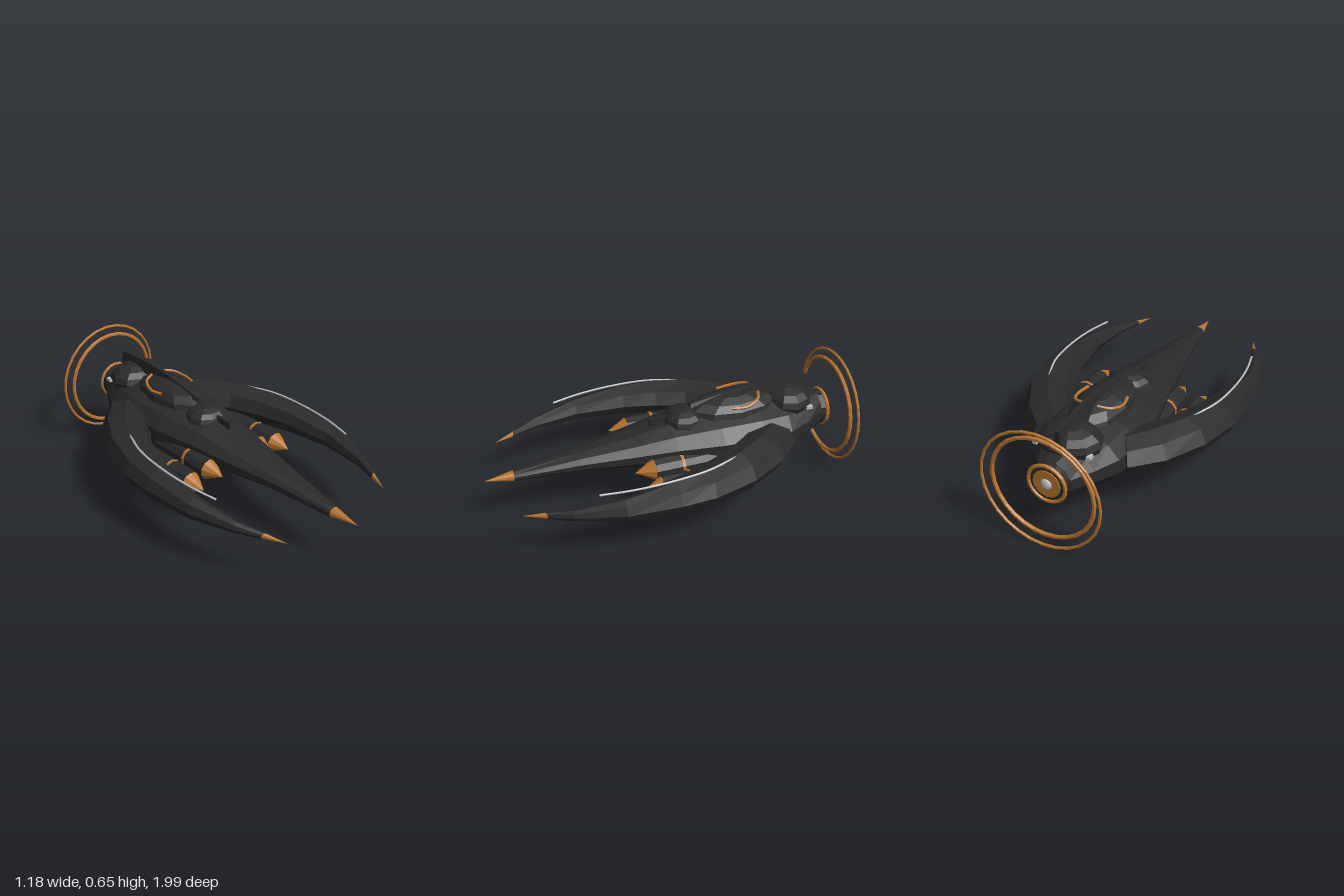
import * as THREE from 'three';

const mat = (name, color) => {
  const m = new THREE.MeshStandardMaterial({ color });
  m.name = name;
  return m;
};

// Faceted normals for the low-poly look
const flat = (g) => {
  const f = g.index ? g.toNonIndexed() : g;
  f.computeVertexNormals();
  return f;
};

// Skin through rings of points running front to back, closed by end caps
function loft(rings) {
  const pos = [];
  const tri = (a, b, c) => pos.push(...a, ...b, ...c);
  const n = rings[0].length;
  const mid = (r) => [0, 1, 2].map((k) => r.reduce((s, p) => s + p[k], 0) / n);
  const first = rings[0], last = rings[rings.length - 1];
  const c0 = mid(first), c1 = mid(last);
  for (let j = 0; j < n; j++) {
    const k = (j + 1) % n;
    for (let i = 0; i < rings.length - 1; i++) {
      const r = rings[i], s = rings[i + 1];
      tri(r[j], s[j], s[k]);
      tri(r[j], s[k], r[k]);
    }
    tri(c0, first[j], first[k]);
    tri(c1, last[k], last[j]);
  }
  const g = new THREE.BufferGeometry();
  g.setAttribute('position', new THREE.Float32BufferAttribute(pos, 3));
  g.computeVertexNormals();
  return g;
}

export function createModel() {
  const dark = mat('charcoal hull', 0x2a2a2b);
  const copper = mat('copper trim', 0xb87430);
  const silver = mat('silver light', 0xb8bcc0);
  const model = new THREE.Group();

  const add = (name, geo, material, x = 0, y = 0, z = 0, parent = model) => {
    const m = new THREE.Mesh(flat(geo), material);
    m.name = name;
    m.position.set(x, y, z);
    parent.add(m);
    return m;
  };
  // Cylinder along z: front radius, back radius, length
  const rod = (rf, rb, len, sides) =>
    new THREE.CylinderGeometry(rf, rb, len, sides).rotateX(Math.PI / 2);
  const tube = (pts, r, seg = 20) => new THREE.TubeGeometry(
    new THREE.CatmullRomCurve3(pts.map((p) => new THREE.Vector3(...p))), seg, r, 5);

  // Hull: z, half width, centre height, half height
  const hull = [
    [0.84, 0.032, 0.275, 0.028], [0.5, 0.09, 0.3, 0.052], [0.2, 0.15, 0.31, 0.088],
    [0, 0.19, 0.315, 0.124], [-0.25, 0.24, 0.315, 0.155], [-0.48, 0.256, 0.312, 0.166],
    [-0.64, 0.235, 0.316, 0.152], [-0.77, 0.172, 0.325, 0.122], [-0.885, 0.105, 0.333, 0.104],
  ].map(([z, w, y, h]) => Array.from({ length: 12 }, (_, j) => {
    const a = ((j + 0.5) / 12) * Math.PI * 2;
    return [w * Math.cos(a), y + h * Math.sin(a), z];
  }));
  add('hull', loft(hull), dark);
  add('noseTip', rod(0, 0.032, 0.155, 12).scale(1, 0.88, 1), copper, 0, 0.275, 0.915);

  // Canopy and upper deck: faceted domes
  const dome = (name, y, z, rx, ry, rz) =>
    add(name, new THREE.SphereGeometry(1, 10, 8).scale(rx, ry, rz), dark, 0, y, z);
  dome('frontCanopy', 0.425, -0.09, 0.12, 0.065, 0.11);
  dome('midDeck', 0.435, -0.38, 0.142, 0.1, 0.27);
  dome('rearDeck', 0.445, -0.7, 0.168, 0.085, 0.135);

  // Dorsal spine, narrower at the top and lower in front
  const spine = [[-0.13, 0.49, 0.51], [-0.32, 0.5, 0.543], [-0.5, 0.5, 0.566], [-0.64, 0.5, 0.57], [-0.82, 0.49, 0.56]]
    .map(([z, lo, hi]) => [[0.022, lo, z], [0.012, hi, z], [-0.012, hi, z], [-0.022, lo, z]]);
  add('dorsalSpine', loft(spine), dark);
  add('frontFin', new THREE.BoxGeometry(0.016, 0.06, 0.11), dark, 0, 0.43, 0.045);

  // Wing: outer x, outer z, inner x, inner z, centre height, half height
  const wing = [
    [0.345, 0.865, 0.344, 0.865, 0.272, 0.001], [0.405, 0.755, 0.372, 0.765, 0.278, 0.016],
    [0.47, 0.64, 0.418, 0.62, 0.285, 0.03], [0.555, 0.4, 0.442, 0.38, 0.297, 0.058],
    [0.59, 0.13, 0.4, 0.11, 0.31, 0.085], [0.587, -0.05, 0.345, -0.07, 0.315, 0.096],
    [0.525, -0.29, 0.28, -0.22, 0.32, 0.102], [0.41, -0.5, 0.2, -0.33, 0.322, 0.1],
    [0.27, -0.64, 0.13, -0.42, 0.325, 0.092],
  ];
  for (const s of [1, -1]) {
    const side = new THREE.Group();
    side.name = s > 0 ? 'leftSide' : 'rightSide';
    model.add(side);
    const rings = wing.map(([ox, oz, ix, iz, y, h]) => Array.from({ length: 8 }, (_, j) => {
      const a = (s * j / 8) * Math.PI * 2, c = Math.cos(a);
      return [s * ((ox + ix) / 2 + c * (ox - ix) / 2), y + h * Math.sin(a), (oz + iz) / 2 + c * (oz - iz) / 2];
    }));
    add('wing', loft(rings.slice(1)), dark, 0, 0, 0, side);
    add('wingTip', loft(rings.slice(0, 2)), copper, 0, 0, 0, side);

    // Light strip riding above the wing
    add('wingStrip', tube([[0.42, 0.412, -0.22], [0.48, 0.412, -0.05], [0.5, 0.405, 0.16],
      [0.49, 0.396, 0.35], [0.46, 0.386, 0.51]].map(([x, y, z]) => [s * x, y, z]), 0.006), silver, 0, 0, 0, side);

    // Copper arc on the deck
    add('deckArc', tube([[0.04, 0.53, -0.51], [0.095, 0.518, -0.485], [0.125, 0.5, -0.41], [0.112, 0.499, -0.33]]
      .map(([x, y, z]) => [s * x, y, z]), 0.008, 12), copper, 0, 0, 0, side);
    add('rearLight', new THREE.BoxGeometry(0.022, 0.018, 0.035), silver, s * 0.145, 0.435, -0.775, side);

    // Two engine pods
    for (const [x, y] of [[0.305, 0.235], [0.178, 0.262]]) {
      const pod = new THREE.Group();
      pod.name = 'enginePod';
      pod.position.set(s * x, y, 0);
      side.add(pod);
      add('podBody', rod(0.06, 0.06, 0.39, 10), dark, 0, 0, -0.06, pod);
      add('podRear', rod(0.06, 0.035, 0.03, 10), dark, 0, 0, -0.27, pod);
      add('podBand', rod(0.063, 0.063, 0.016, 10), copper, 0, 0, -0.015, pod);
      add('podCone', rod(0, 0.057, 0.105, 10), copper, 0, 0, 0.187, pod);
    }
  }

  // Tail nozzle
  const ty = 0.335;
  add('nozzleNeck', rod(0.1, 0.098, 0.05, 16), dark, 0, ty, -0.9);
  add('nozzleRim', new THREE.TorusGeometry(0.1, 0.01, 6, 20), copper, 0, ty, -0.925);
  add('nozzleDisc', rod(0.074, 0.074, 0.008, 16), copper, 0, ty, -0.926);
  add('nozzleCore', new THREE.SphereGeometry(0.03, 10, 8).scale(1, 1, 0.5), silver, 0, ty, -0.93);

  // Floating halo rings
  add('innerRing', new THREE.TorusGeometry(0.273, 0.011, 6, 28), copper, 0, ty, -0.966);
  add('outerRing', new THREE.TorusGeometry(0.318, 0.008, 6, 28), copper, 0, ty, -0.99);

  return model;
}
